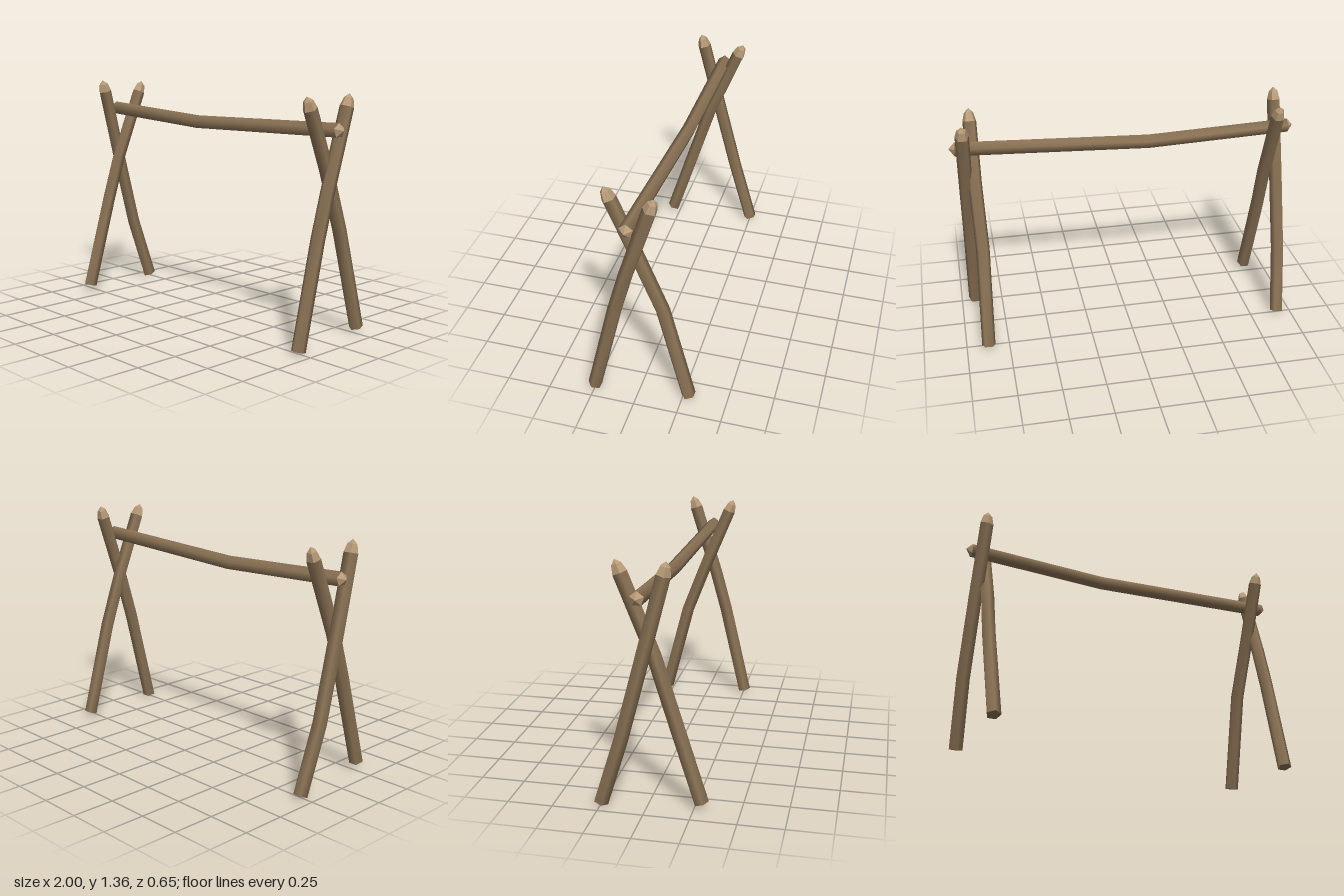
import * as THREE from 'three';

const SIDES = 5;
const RADIUS = 0.041;

// Lofts five-sided rings of given radii along a path of centres.
function loft(path, radii, ref, flat = false) {
  const pos = [], index = [];
  path.forEach((c, i) => {
    const prev = path[Math.max(i - 1, 0)], next = path[Math.min(i + 1, path.length - 1)];
    const t = next.clone().sub(prev).normalize();
    const u = ref.clone().addScaledVector(t, -ref.dot(t)).normalize();
    const v = t.clone().cross(u);
    for (let j = 0; j < SIDES; j++) {
      const a = (j / SIDES) * Math.PI * 2;
      const p = c.clone()
        .addScaledVector(u, Math.sin(a) * radii[i])
        .addScaledVector(v, -Math.cos(a) * radii[i]);
      pos.push(p.x, p.y, p.z);
      if (i === 0) continue;
      const k = (j + 1) % SIDES, lo = (i - 1) * SIDES, hi = i * SIDES;
      index.push(lo + j, lo + k, hi + k, lo + j, hi + k, hi + j);
    }
  });
  let g = new THREE.BufferGeometry();
  g.setAttribute('position', new THREE.Float32BufferAttribute(pos, 3));
  g.setIndex(index);
  if (flat) g = g.toNonIndexed();
  g.computeVertexNormals();
  return g;
}

export function createModel() {
  const bark = new THREE.MeshStandardMaterial({ color: 0x8b7355 });
  bark.name = 'bark';
  const cutWood = new THREE.MeshStandardMaterial({ color: 0xb89b78 });
  cutWood.name = 'cutWood';

  const model = new THREE.Group();
  model.name = 'poleFrame';
  const X = new THREE.Vector3(1, 0, 0), Z = new THREE.Vector3(0, 0, 1);

  function add(group, name, geometry, material) {
    const mesh = new THREE.Mesh(geometry, material);
    mesh.name = name;
    group.add(mesh);
  }

  // A bent log; each end is a list of [distance beyond the shaft, radius factor].
  function log(name, points, ref, startEnd, startMaterial, finishEnd) {
    const group = new THREE.Group();
    group.name = name;
    const path = points.map((p) => new THREE.Vector3(...p));
    const n = path.length;
    add(group, 'shaft', loft(path, path.map(() => RADIUS), ref), bark);

    const end = (origin, dir, profile) => profile.map(([d]) => origin.clone().addScaledVector(dir, d));
    const up = path[n - 1].clone().sub(path[n - 2]).normalize();
    const down = path[1].clone().sub(path[0]).normalize();
    add(group, 'tip', loft(end(path[n - 1], up, finishEnd), finishEnd.map((e) => e[1] * RADIUS), ref, true), cutWood);
    const start = startEnd.map(([d, r]) => [-d, r]).reverse();
    add(group, 'base', loft(end(path[0], down, start), start.map((e) => e[1] * RADIUS), ref, true), startMaterial);
    model.add(group);
  }

  const blunt = [[0, 1], [0.002, 0]];
  const carved = [[0, 1], [0.048, 0.68], [0.074, 0]];
  const point = [[0, 1], [0.033, 0]];

  // Crossed legs at each end
  const legs = {
    rightBackLeg: [[-0.918, 0.018, -0.25], [-0.937, 0.4, -0.13], [-0.932, 0.85, -0.012], [-0.923, 1.29, 0.1]],
    rightFrontLeg: [[-0.868, 0.043, 0.29], [-0.877, 0.6, 0.118], [-0.874, 0.85, 0.04], [-0.87, 1.28, -0.135]],
    leftBackLeg: [[0.872, 0.03, -0.285], [0.858, 0.6, -0.137], [0.868, 0.95, -0.003], [0.868, 1.285, 0.135]],
    leftFrontLeg: [[0.917, 0.018, 0.253], [0.918, 0.6, 0.115], [0.92, 0.85, 0.045], [0.922, 1.29, -0.095]],
  };
  for (const [name, points] of Object.entries(legs)) log(name, points, X, blunt, bark, carved);

  // Sagging crossbar, pointed at both ends
  log('crossbar', [[-0.967, 1.174, -0.025], [-0.14, 1.138, -0.012], [0.967, 1.174, 0.018]], Z, point, cutWood, point);

  return model;
}
